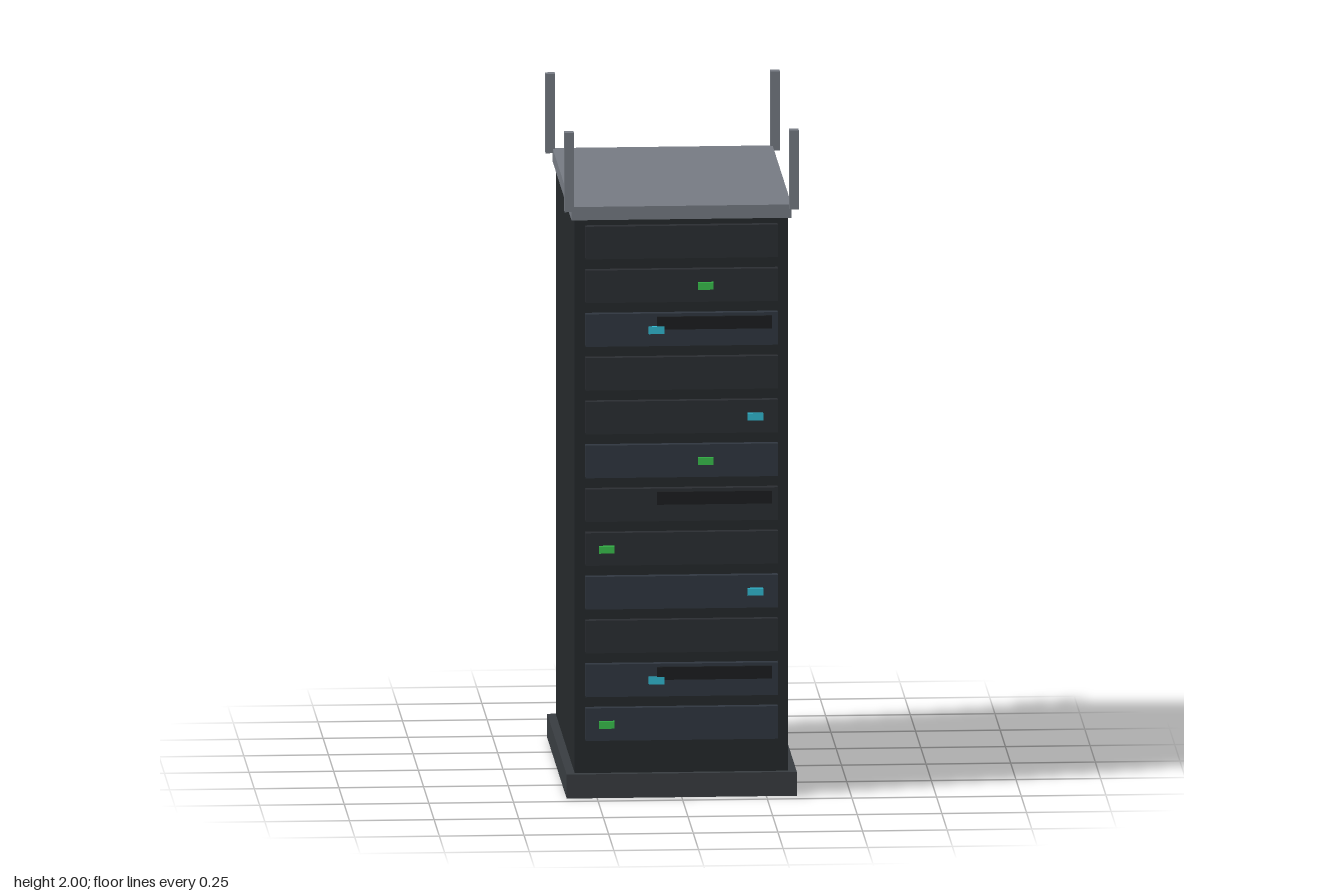
import * as THREE from 'three';

const mat = (color) => new THREE.MeshStandardMaterial({ color });

export function createModel() {
  const model = new THREE.Group();
  model.name = 'serverRack';

  const shell = mat(0x24282b);
  const plinth = mat(0x383c40);
  const metal = mat(0x757a82);
  const plainUnit = mat(0x2a2d31);
  const blueUnit = mat(0x2f363f);
  const black = mat(0x1b1d1f);
  const lights = { green: mat(0x38c04c), cyan: mat(0x30b8d0) };

  // Box given by its lower and upper limits on each axis
  const box = (name, material, [x0, x1], [y0, y1], [z0, z1], parent = model) => {
    const mesh = new THREE.Mesh(new THREE.BoxGeometry(x1 - x0, y1 - y0, z1 - z0), material);
    mesh.position.set((x0 + x1) / 2, (y0 + y1) / 2, (z0 + z1) / 2);
    mesh.name = name;
    parent.add(mesh);
    return mesh;
  };

  // Cabinet
  box('base', plinth, [-0.34, 0.34], [0, 0.072], [-0.468, 0.455]);
  box('cabinet', shell, [-0.315, 0.315], [0.07, 1.738], [-0.446, 0.435]);
  box('topPlate', metal, [-0.325, 0.325], [1.735, 1.775], [-0.455, 0.442]);

  // Four corner posts above the top plate
  for (const side of [-1, 1]) {
    for (const z of [-0.456, 0.439]) {
      const x = side * 0.332;
      box('cornerPost', metal, [x - 0.014, x + 0.014], [1.762, 2], [z - 0.014, z + 0.014]);
    }
  }

  // Rack units from bottom to top: faceplate shade, status light, drive slot
  const units = [
    { blue: true, light: 'green', x: -0.222 },
    { blue: true, light: 'cyan', x: -0.075, slot: true },
    {},
    { blue: true, light: 'cyan', x: 0.217 },
    { light: 'green', x: -0.222 },
    { slot: true },
    { blue: true, light: 'green', x: 0.07 },
    { light: 'cyan', x: 0.217 },
    {},
    { blue: true, light: 'cyan', x: -0.075, slot: true },
    { light: 'green', x: 0.07 },
    {},
  ];
  units.forEach(({ blue, light, x, slot }, i) => {
    const y = 0.222 + i * 0.1316;
    const unit = new THREE.Group();
    unit.name = 'rackUnit';
    box('faceplate', blue ? blueUnit : plainUnit, [-0.284, 0.284], [y - 0.049, y + 0.049], [0.42, 0.459], unit);
    if (slot) box('driveSlot', black, [-0.074, 0.266], [y + 0.002, y + 0.04], [0.45, 0.467], unit);
    if (light) box('statusLight', lights[light], [x - 0.023, x + 0.023], [y - 0.011, y + 0.011], [0.45, 0.469], unit);
    model.add(unit);
  });

  return model;
}
